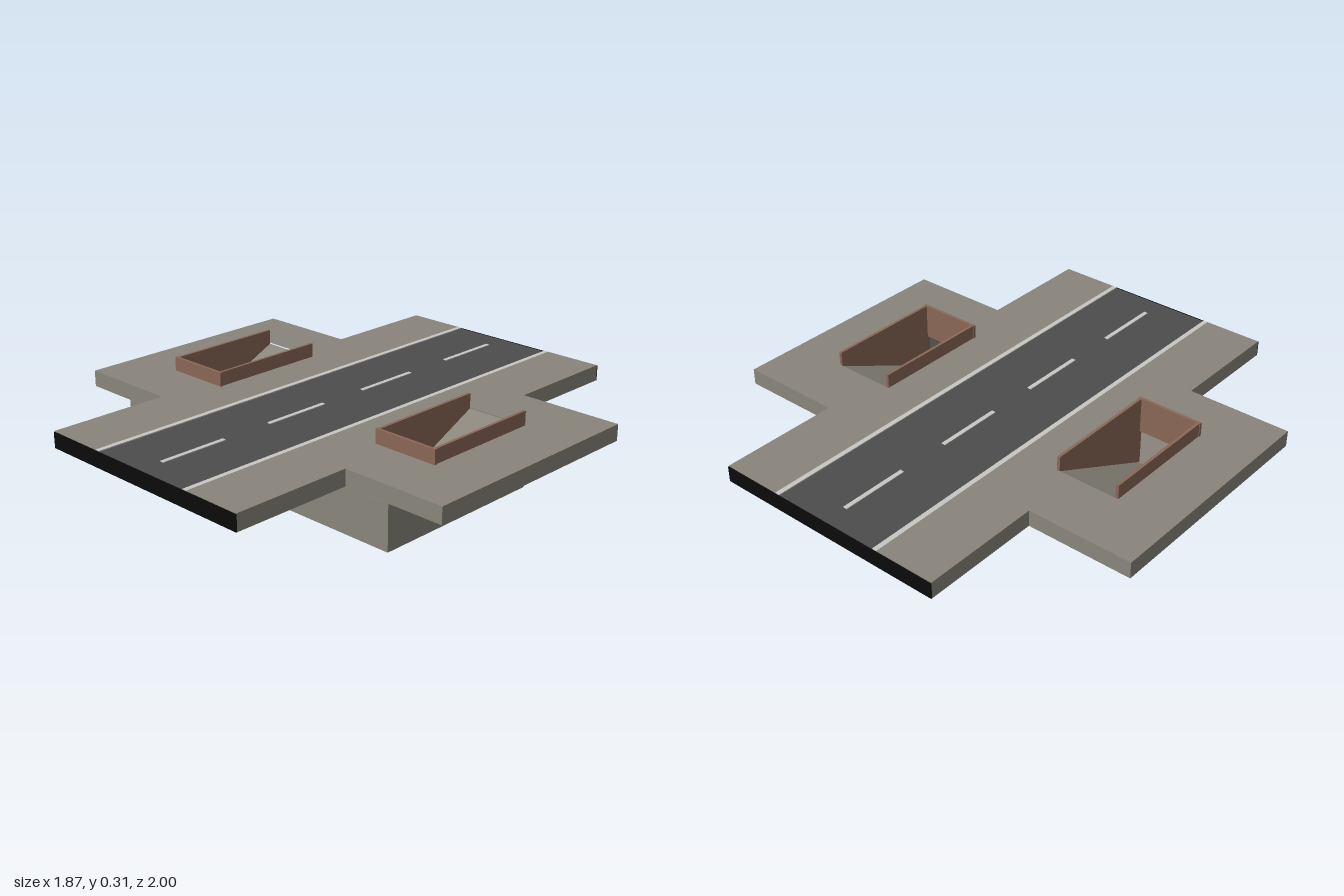
import * as THREE from 'three';

const material = (name, color) => {
  const m = new THREE.MeshStandardMaterial({ color });
  m.name = name;
  return m;
};

export function createModel() {
  const group = new THREE.Group();
  const concrete = material('concrete', 0x89857b);
  const asphalt = material('asphalt', 0x4c4c4d);
  const black = material('black', 0x0b0b0b);
  const brick = material('brown brick', 0x8a6756);
  const paint = material('pale paint', 0xc6c6c2);
  const TOP = 0.25, BASE = 0.183;

  const add = (name, geometry, mat) => {
    const mesh = new THREE.Mesh(geometry, mat);
    mesh.name = name;
    group.add(mesh);
    return mesh;
  };
  // Box given by its minimum and maximum corners
  const box = (name, mat, x0, x1, y0, y1, z0, z1) => {
    const mesh = add(name, new THREE.BoxGeometry(Math.abs(x1 - x0), y1 - y0, z1 - z0), mat);
    mesh.position.set((x0 + x1) / 2, (y0 + y1) / 2, (z0 + z1) / 2);
    return mesh;
  };
  // Horizontal plate from an outline of [x, z] points
  const plate = (name, mat, outline, y0, y1, hole) => {
    const toPoints = (list) => list.map(([x, z]) => new THREE.Vector2(x, z));
    const shape = new THREE.Shape(toPoints(outline));
    if (hole) shape.holes.push(new THREE.Path(toPoints(hole)));
    const geometry = new THREE.ExtrudeGeometry(shape, { depth: y1 - y0, bevelEnabled: false });
    geometry.rotateX(Math.PI / 2).translate(0, y1, 0);
    return add(name, geometry, mat);
  };

  // Road with dashed centre line
  box('road', asphalt, -0.23, 0.23, BASE, 0.246, -0.996, 0.996);
  for (const z of [-0.755, -0.25, 0.25, 0.755]) {
    box('centreDash', paint, -0.009, 0.009, 0.246, 0.249, z - 0.143, z + 0.143);
  }
  // Dark cut faces at both road ends
  box('frontEndFace', black, -0.5, 0.5, BASE, 0.247, 0.996, 1);
  box('backEndFace', black, -0.5, 0.5, BASE, 0.247, -1, -0.996);

  for (const s of [-1, 1]) {
    // Pavement with a widened plaza and a stair opening
    const side = (list) => list.map(([x, z]) => [s * x, z]);
    plate('pavement', concrete, side([
      [0.25, -0.996], [0.5, -0.996], [0.5, -0.5], [0.935, -0.5],
      [0.935, 0.5], [0.5, 0.5], [0.5, 0.996], [0.25, 0.996],
    ]), BASE, TOP, side([[0.423, -0.25], [0.697, -0.25], [0.697, 0.262], [0.423, 0.262]]));
    box('kerb', paint, s * 0.23, s * 0.25, 0.235, TOP, -0.996, 0.996);
    box('kerbBase', asphalt, s * 0.23, s * 0.25, BASE, 0.235, -0.996, 0.996);

    // Brick lining and parapet on three sides of the opening
    box('outerParapet', brick, s * 0.685, s * 0.697, 0.01, 0.308, -0.248, 0.265);
    box('innerParapet', brick, s * 0.423, s * 0.435, 0.01, 0.308, -0.248, 0.265);
    box('endParapet', brick, s * 0.42, s * 0.70, TOP, 0.308, 0.253, 0.265);
    box('endLining', brick, s * 0.435, s * 0.685, 0.16, TOP, 0.253, 0.265);

    // Ramp descending towards the passage
    const ramp = new THREE.BoxGeometry(0.25, 0.004, Math.hypot(0.5, 0.235));
    ramp.rotateX(Math.atan2(0.235, 0.5)).translate(s * 0.56, 0.1275, 0.002);
    add('ramp', ramp, concrete);
  }

  // U-shaped underpass: floor and enclosing walls
  const outline = [
    [0.70, 0.5], [0.70, -0.25], [0.42, -0.25], [0.42, 0.22],
    [-0.42, 0.22], [-0.42, -0.25], [-0.70, -0.25], [-0.70, 0.5],
  ];
  plate('underpassFloor', concrete, outline, 0, 0.008);
  outline.forEach(([x0, z0], i) => {
    const [x1, z1] = outline[(i + 1) % outline.length];
    const t = 0.0015;
    box('underpassWall', concrete, Math.min(x0, x1) - t, Math.max(x0, x1) + t,
      0.001, BASE, Math.min(z0, z1) - t, Math.max(z0, z1) + t);
  });
  return group;
}
